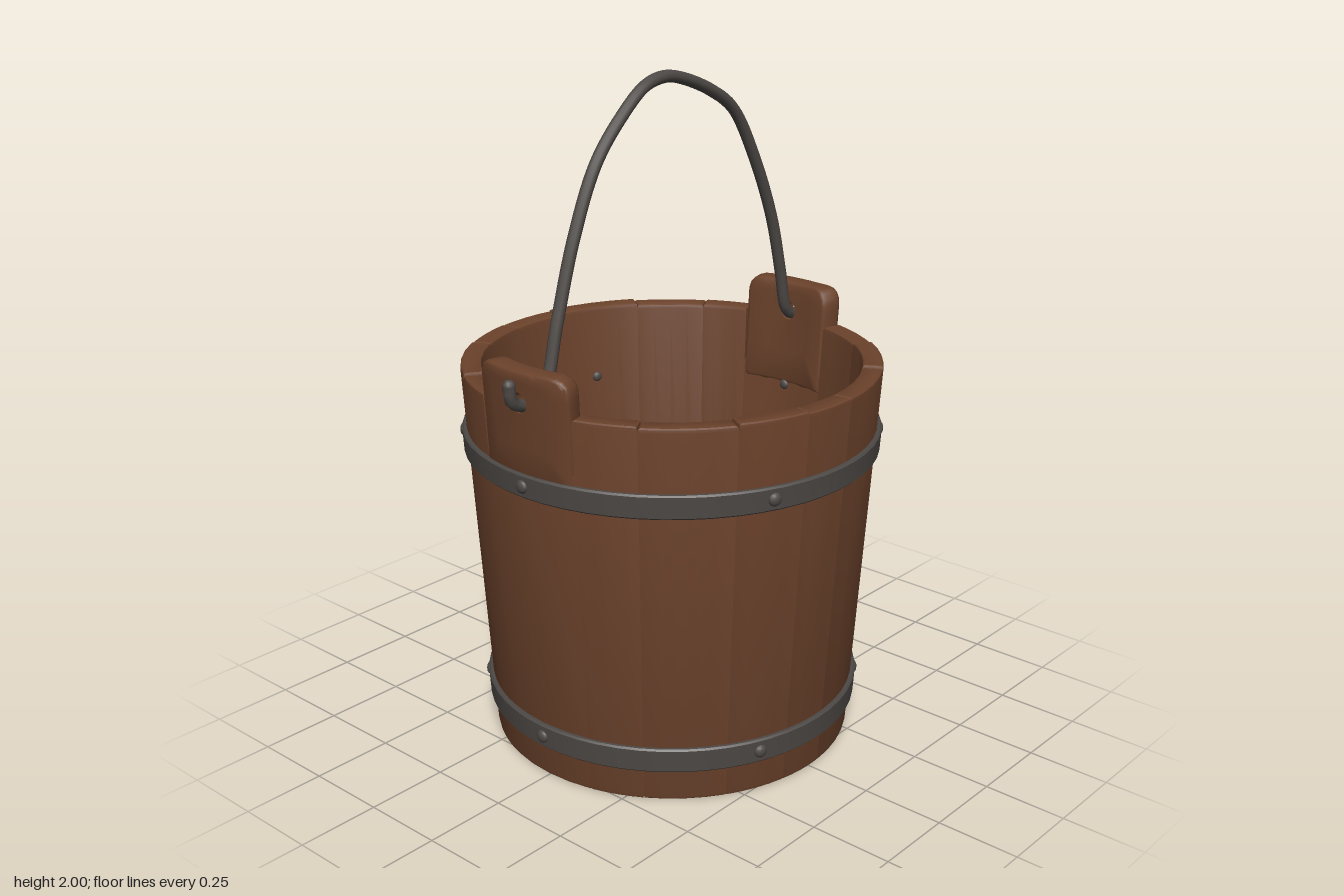
import * as THREE from 'three';
import { toCreasedNormals } from 'three/addons/utils/BufferGeometryUtils.js';

const WALL = 0.062, RIM = 1.165;
const radiusAt = (y) => 0.545 + 0.075 * (y / RIM); // outer radius of the tapered wall
const rad = THREE.MathUtils.degToRad;

// Tapered stave between two angles, measured from +x towards +z
function staveGeometry(a0, a1, height) {
  const shape = new THREE.Shape();
  shape.absarc(0, 0, 0.62, -a1, -a0, false);
  shape.absarc(0, 0, 0.62 - WALL, -a0, -a1, true);
  const bevel = 0.012;
  const geo = new THREE.ExtrudeGeometry(shape, {
    depth: height - 2 * bevel, curveSegments: 2, bevelThickness: bevel,
    bevelSize: 0.007, bevelOffset: -0.007, bevelSegments: 2,
  });
  geo.translate(0, 0, bevel).rotateX(-Math.PI / 2);
  const p = geo.attributes.position;
  for (let i = 0; i < p.count; i++) {
    const s = radiusAt(p.getY(i)) / 0.62;
    p.setXYZ(i, p.getX(i) * s, p.getY(i), p.getZ(i) * s);
  }
  return toCreasedNormals(geo, 0.6);
}

// Raised ear: loops running from the hole, over the rounded outline and back, bent round the wall
function earGeometry() {
  const w = 0.168, bottom = 0.94, top = 1.272, c = 0.055, hy = 1.18;
  const outline = new THREE.Shape();
  outline.moveTo(-w, bottom);
  outline.lineTo(w, bottom);
  outline.lineTo(w, top - c);
  outline.quadraticCurveTo(w, top, w - c, top);
  outline.lineTo(-w + c, top);
  outline.quadraticCurveTo(-w, top, -w, top - c);
  outline.closePath();
  const n = 64, points = outline.getSpacedPoints(n).slice(0, n);
  const thick = WALL + 0.006, b = 0.014;
  const positions = [], index = [];
  for (const p of points) {
    const d = new THREE.Vector2(p.x, p.y - hy), len = d.length();
    d.divideScalar(len);
    const mid = (len + 0.03) / 2;
    const section = [
      [0.03, thick], [mid, thick], [len - b, thick], [len - b * 0.3, thick - b * 0.3], [len, thick - b],
      [len, b], [len - b * 0.3, b * 0.3], [len - b, 0], [mid, 0], [0.03, 0],
    ];
    for (const [dist, t] of section) {
      const y = hy + d.y * dist, angle = (d.x * dist) / 0.61;
      const r = radiusAt(y) - WALL - 0.003 + t;
      positions.push(r * Math.cos(angle), y, -r * Math.sin(angle));
    }
  }
  const m = 10;
  for (let i = 0; i < n; i++) {
    for (let j = 0; j < m; j++) {
      const i2 = (i + 1) % n, j2 = (j + 1) % m;
      const q = [i * m + j, i * m + j2, i2 * m + j2, i2 * m + j];
      index.push(q[0], q[1], q[2], q[0], q[2], q[3]);
    }
  }
  const geo = new THREE.BufferGeometry();
  geo.setAttribute('position', new THREE.Float32BufferAttribute(positions, 3));
  geo.setIndex(index);
  return toCreasedNormals(geo, 0.85);
}

// Floor plank cut to the circle between x0 and x1
function plankGeometry(x0, x1, r) {
  const a0 = Math.acos(x1 / r), a1 = Math.acos(x0 / r);
  const shape = new THREE.Shape();
  shape.absarc(0, 0, r, a0, a1, false);
  shape.absarc(0, 0, r, -a1, -a0, false);
  const geo = new THREE.ExtrudeGeometry(shape, {
    depth: 0.04, curveSegments: 6, bevelThickness: 0.004,
    bevelSize: 0.003, bevelOffset: -0.003, bevelSegments: 1,
  });
  return geo.rotateX(-Math.PI / 2);
}

// Closed ring following the taper between two heights
function ringGeometry(y0, y1, inner, outer) {
  const b = 0.005;
  const profile = [
    [inner, y0], [outer - b, y0], [outer, y0 + b], [outer, y1 - b], [outer - b, y1], [inner, y1], [inner, y0],
  ].map(([off, y]) => new THREE.Vector2(radiusAt(y) + off, y));
  return toCreasedNormals(new THREE.LatheGeometry(profile, 56), 0.6);
}

export function createModel() {
  const wood = new THREE.MeshStandardMaterial({ color: 0x6b422b });
  wood.name = 'brown wood';
  const iron = new THREE.MeshStandardMaterial({ color: 0x4d4946 });
  iron.name = 'dark iron';

  const bucket = new THREE.Group();
  bucket.name = 'bucket';
  const add = (name, geo, mat) => {
    const mesh = new THREE.Mesh(geo, mat);
    mesh.name = name;
    bucket.add(mesh);
    return mesh;
  };

  // Staves of uneven width; the two at the sides carry the ears
  const seams = [-16, 16, 36, 59, 86, 102, 122, 147, 164, 196, 212, 241, 260, 279, 307, 329, 344];
  for (let i = 0; i < seams.length - 1; i++) {
    const isEar = seams[i] === -16 || seams[i] === 164;
    const height = isEar ? 1.0 : RIM - 0.003 * (1 + Math.sin(i * 2.3));
    add(isEar ? 'earStave' : 'stave', staveGeometry(rad(seams[i]), rad(seams[i + 1]), height), wood);
  }
  const ear = earGeometry();
  add('leftEar', ear, wood);
  add('rightEar', ear, wood).rotation.y = Math.PI;

  // Floor planks
  const cuts = [-0.497, -0.31, -0.1, 0.11, 0.31, 0.497];
  for (let i = 0; i < cuts.length - 1; i++) {
    add('floorPlank', plankGeometry(cuts[i], cuts[i + 1], 0.4975), wood).position.y = 0.055;
  }
  add('floorRing', ringGeometry(0.1, 0.165, -0.068, -0.05), iron);

  // Hoops with rivets that come through to the inside
  const rivet = new THREE.SphereGeometry(0.02, 12, 8);
  const hoops = [['lowerHoop', 0.1, 0.176], ['upperHoop', 0.9, 0.972]];
  for (const [name, y0, y1] of hoops) {
    add(name, ringGeometry(y0, y1, -0.02, 0.014), iron);
    const y = (y0 + y1) / 2;
    for (const deg of [0, 48, 112, 180, 228, 292]) {
      for (const offset of [0.014, -WALL]) {
        const r = radiusAt(y) + offset, a = rad(deg);
        const mesh = add('rivet', rivet, iron);
        mesh.position.set(r * Math.cos(a), y, r * Math.sin(a));
        mesh.rotation.y = -a;
        mesh.scale.x = 0.6;
        if (offset < 0) mesh.scale.multiplyScalar(0.8);
      }
    }
  }

  // Bent wire handle, hooked through the ears
  const path = [
    [-0.655, 1.235], [-0.648, 1.19], [-0.61, 1.168], [-0.555, 1.168], [-0.52, 1.195], [-0.47, 1.37],
    [-0.4, 1.59], [-0.31, 1.78], [-0.2, 1.9], [-0.11, 1.966], [-0.03, 1.982], [0.04, 1.97],
    [0.17, 1.92], [0.27, 1.855], [0.37, 1.7], [0.46, 1.5], [0.51, 1.32], [0.54, 1.195],
    [0.57, 1.168], [0.615, 1.165], [0.645, 1.185], [0.65, 1.225],
  ].map(([x, y]) => new THREE.Vector3(x, y, 0));
  add('handle', new THREE.TubeGeometry(new THREE.CatmullRomCurve3(path), 110, 0.018, 10), iron);
  for (const end of [path[0], path[path.length - 1]]) {
    add('handleTip', new THREE.SphereGeometry(0.018, 10, 8), iron).position.copy(end);
  }
  return bucket;
}
